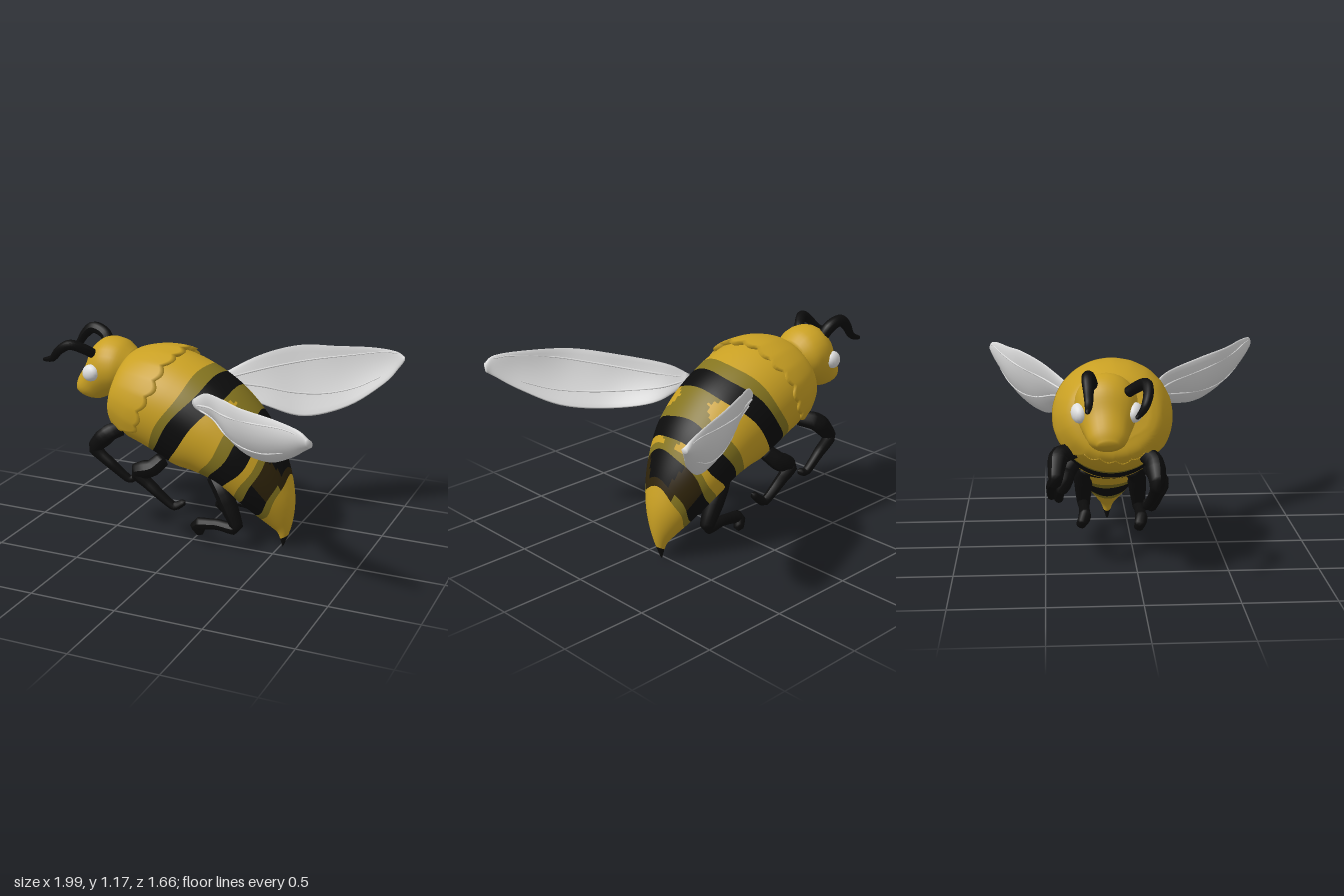
import * as THREE from 'three';

const V = (x, y, z) => new THREE.Vector3(x, y, z);
const mat = (name, color) => Object.assign(new THREE.MeshStandardMaterial({ color, side: THREE.DoubleSide }), { name });

// A loft is a list of sections [top, bottom, half width, sideways bow]; returns point(u, angle, scale)
function loftSurface(sections) {
  const n = sections.length - 1;
  const tops = new THREE.CatmullRomCurve3(sections.map(s => s[0]), false, 'catmullrom');
  const bots = new THREE.CatmullRomCurve3(sections.map(s => s[1]), false, 'catmullrom');
  const widths = new THREE.CatmullRomCurve3(sections.map(s => V(s[2], s[3] ?? 0, 0)), false, 'catmullrom');
  const at = (curve, u) => curve.getPoint(THREE.MathUtils.clamp(u / n, 0, 1));
  const mid = u => at(tops, u).add(at(bots, u)).multiplyScalar(0.5);
  return (u, a, scale = 1) => {
    const half = at(tops, u).sub(at(bots, u)).multiplyScalar(0.5);
    const along = mid(Math.min(u + 0.05, n)).sub(mid(Math.max(u - 0.05, 0)));
    const side = along.cross(half).normalize(), w = at(widths, u), sin = Math.sin(a);
    return mid(u).addScaledVector(half, Math.cos(a) * scale).addScaledVector(side, (w.x * sin + w.y * sin * sin) * scale);
  };
}

// Closed-around grid; pick(row, angle) chooses the material slot of each quad
function gridGeometry(point, rows, cols, pick = () => 0, slots = 1) {
  const pos = [], lists = Array.from({ length: slots }, () => []);
  for (let r = 0; r <= rows; r++)
    for (let c = 0; c < cols; c++) pos.push(...point(r, (c / cols) * Math.PI * 2).toArray());
  for (let r = 0; r < rows; r++)
    for (let c = 0; c < cols; c++) {
      const d = (c + 1) % cols, a = r * cols;
      lists[pick(r, ((c + 0.5) / cols) * Math.PI * 2)].push(
        a + c, a + d, a + cols + c, a + d, a + cols + d, a + cols + c);
    }
  const g = new THREE.BufferGeometry();
  g.setAttribute('position', new THREE.Float32BufferAttribute(pos, 3));
  g.setIndex(lists.flat());
  let start = 0;
  if (slots > 1) lists.forEach((l, i) => { g.addGroup(start, l.length, i); start += l.length; });
  g.computeVertexNormals();
  return g;
}

// Plain loft with both ends closed
function loft(sections, cols = 24, per = 5) {
  const s = loftSurface(sections), rows = (sections.length - 1) * per;
  return gridGeometry((r, a) => s(Math.max(0, Math.min(rows, r - 1)) / per, a, r === 0 || r === rows + 2 ? 0 : 1), rows + 2, cols);
}

// Tube whose radius follows a list, closed at both ends
function limb(points, radii, tension = 0.25) {
  const path = new THREE.CatmullRomCurve3(points, false, 'catmullrom', tension);
  const seg = 36, sides = 10, g = new THREE.TubeGeometry(path, seg, 1, sides);
  const p = g.attributes.position, v = V(0, 0, 0);
  for (let i = 0; i <= seg; i++) {
    const f = (i / seg) * (radii.length - 1), k = Math.min(Math.floor(f), radii.length - 2);
    const r = i === 0 || i === seg ? 0 : THREE.MathUtils.lerp(radii[k], radii[k + 1], f - k);
    const centre = path.getPointAt(i / seg);
    for (let j = 0; j <= sides; j++) {
      const q = i * (sides + 1) + j;
      v.fromBufferAttribute(p, q).sub(centre).multiplyScalar(r).add(centre);
      p.setXYZ(q, v.x, v.y, v.z);
    }
  }
  g.computeVertexNormals();
  return g;
}

export function createModel() {
  const group = new THREE.Group();
  group.name = 'bee';
  const yellow = mat('honey yellow', 0xc9a023), olive = mat('olive shade', 0x84741f);
  const brown = mat('dark brown', 0x2e230a), black = mat('black', 0x0c0c0c);
  const wingGrey = mat('wing grey', 0xdadada), eyeWhite = mat('eye white', 0xdedede);
  const add = (name, geometry, material) => {
    const m = new THREE.Mesh(geometry, material);
    m.name = name;
    group.add(m);
    return m;
  };
  const flat = (rows, z) => rows.map(([tx, ty, bx, by, w]) => [V(tx, ty, z), V(bx, by, z), w]);

  // Body: thorax, abdomen and sting in one loft
  const body = loftSurface(flat([
    [-0.45, 1.05, -0.53, 0.76, 0.16], [-0.38, 1.09, -0.53, 0.66, 0.25], [-0.25, 1.11, -0.43, 0.57, 0.3],
    [-0.1, 1.09, -0.33, 0.53, 0.315], [0.04, 1.04, -0.22, 0.48, 0.315], [0.17, 0.97, -0.12, 0.43, 0.31],
    [0.27, 0.89, 0, 0.41, 0.3], [0.38, 0.77, 0.12, 0.37, 0.28], [0.45, 0.66, 0.2, 0.31, 0.25],
    [0.52, 0.52, 0.28, 0.25, 0.205], [0.565, 0.38, 0.37, 0.18, 0.145], [0.58, 0.26, 0.45, 0.12, 0.085],
    [0.565, 0.13, 0.49, 0.08, 0.038], [0.52, 0, 0.515, 0, 0.004]], -0.12));

  // Band edges along the body at the back, flank and belly
  const edges = [[0, 0, 0], [4, 3.75, 3.4], [4.6, 4.15, 3.7], [5.55, 5.05, 4.7], [6.3, 6.5, 6.2], [6.75, 7, 6.6],
    [7.65, 7.95, 7.3], [8, 8.4, 8.3], [8.25, 8.8, 8.8], [9.25, 9.85, 9.9], [9.55, 10.2, 10.3], [12.4, 12.4, 12.4], [13, 13, 13]];
  const bandSlots = [0, 1, 3, 0, 1, 3, 0, 1, 3, 1, 0, 3];
  const edgeAt = (k, a) => {
    const [t, m, b] = edges[k], c = Math.cos(a);
    const wave = k > 0 && k < 11 ? 0.05 * Math.cos(5 * a + k) : 0;
    return m + ((t - b) / 2) * c + ((t + b) / 2 - m) * c * c + wave;
  };
  const per = 8, bands = bandSlots.length;
  const bodyPoint = (r, a) => {
    const k = Math.min(Math.floor(r / per), bands - 1);
    const u = THREE.MathUtils.lerp(edgeAt(k, a), edgeAt(k + 1, a), r / per - k);
    return body(u, a, r === 0 || r === bands * per ? 0 : 1);
  };
  const bodySlot = (r, a) => {
    const k = Math.floor(r / per), fromBack = Math.min(a, Math.PI * 2 - a);
    const f = (r % per) / per;
    if (k === 3 && fromBack < 0.36 + 0.2 * Math.abs(2 * f - 1)) return 1; // shaded middle of the back
    if (k === 6 && fromBack < 0.25 - 0.1 * f) return 1;
    if (k === 8 && fromBack > 0.6 - 0.2 * f && fromBack < 1.4) return 2; // brown shoulders of the last band
    if (k === 9 && fromBack < 0.7) return 2;
    return bandSlots[k];
  };
  add('body', gridGeometry(bodyPoint, bands * per, 72, bodySlot, 4), [yellow, olive, brown, black]);

  // Ragged fur collar over the thorax
  const furEdge = a => {
    const fromBack = Math.min(a, Math.PI * 2 - a);
    return 2.85 - 1.7 * THREE.MathUtils.smoothstep(fromBack, 1.9, 2.6) + 0.2 * Math.abs(Math.sin(a * 10)) + 0.06 * Math.sin(a * 7);
  };
  add('furCollar', gridGeometry((r, a) => {
    const f = r / 14;
    if (r === 15) return body(furEdge(a) - 0.15, a, 0.98);
    const flare = 0.04 + 0.04 * Math.max(0, Math.cos(a));
    return body(furEdge(a) * f, a, r === 0 ? 0 : 1.015 + flare * f * f);
  }, 15, 120), yellow);

  // Head with muzzle
  add('head', loft(flat([
    [-0.44, 1.05, -0.48, 0.82, 0.12], [-0.52, 1.11, -0.53, 0.8, 0.16], [-0.62, 1.12, -0.58, 0.78, 0.165],
    [-0.7, 1.065, -0.63, 0.755, 0.15], [-0.75, 0.96, -0.68, 0.735, 0.12], [-0.805, 0.87, -0.74, 0.74, 0.095],
    [-0.825, 0.81, -0.8, 0.765, 0.05]], -0.17)), yellow);

  // Eyes
  for (const s of [1, -1]) {
    const eye = add('eye', new THREE.SphereGeometry(1, 16, 12), eyeWhite);
    eye.scale.set(0.06, 0.05, 0.04);
    eye.position.set(-0.665, 0.93, -0.17 + s * 0.145);
    eye.rotation.set(0, -s * 0.3, 0.4);
  }

  // Antennae
  add('leftAntenna', limb([V(-0.66, 1.03, -0.07), V(-0.7, 1.07, -0.02), V(-0.77, 1.1, 0.025), V(-0.84, 1.06, 0.03),
    V(-0.9, 1, 0.005), V(-0.99, 0.97, -0.04)], [0.028, 0.03, 0.03, 0.028, 0.024, 0.018, 0.01], 0.5), black);
  add('rightAntenna', limb([V(-0.65, 1.05, -0.24), V(-0.69, 1.11, -0.26), V(-0.77, 1.135, -0.27), V(-0.83, 1.09, -0.27),
    V(-0.88, 1.02, -0.27), V(-0.95, 0.99, -0.28)], [0.032, 0.036, 0.035, 0.032, 0.026, 0.02, 0.01], 0.5), black);

  // Legs: hip, knee, ankle and foot
  const slim = [0.045, 0.05, 0.055, 0.045, 0.035, 0.032, 0.028, 0.025, 0.018];
  const stout = [0.05, 0.055, 0.055, 0.048, 0.038, 0.032, 0.032, 0.038, 0.025];
  const legs = {
    leftFrontLeg: [slim, [-0.42, 0.65, 0.04], [-0.49, 0.62, 0.09], [-0.58, 0.52, 0.1], [-0.48, 0.43, 0.09], [-0.38, 0.34, 0.06], [-0.33, 0.37, 0.06]],
    rightFrontLeg: [slim, [-0.35, 0.66, -0.32], [-0.42, 0.64, -0.42], [-0.51, 0.53, -0.44], [-0.4, 0.47, -0.46], [-0.29, 0.38, -0.46], [-0.24, 0.4, -0.44]],
    leftMiddleLeg: [slim, [-0.14, 0.52, 0.08], [-0.2, 0.46, 0.13], [-0.29, 0.43, 0.14], [-0.18, 0.33, 0.13], [-0.07, 0.24, 0.11], [0.0, 0.28, 0.1]],
    rightMiddleLeg: [slim, [-0.08, 0.54, -0.32], [-0.14, 0.47, -0.38], [-0.22, 0.42, -0.4], [-0.1, 0.35, -0.42], [0.01, 0.28, -0.42], [0.09, 0.35, -0.4]],
    leftHindLeg: [stout, [0.13, 0.43, 0], [0.2, 0.36, 0.04], [0.3, 0.15, 0.06], [0.18, 0.15, 0.06], [0.05, 0.13, 0.06], [0.08, 0.06, 0.04]],
    rightHindLeg: [stout, [0.16, 0.43, -0.24], [0.22, 0.37, -0.27], [0.31, 0.17, -0.27], [0.19, 0.17, -0.27], [0.06, 0.15, -0.27], [0.09, 0.08, -0.3]],
  };
  for (const [name, [radii, ...points]] of Object.entries(legs)) add(name, limb(points.map(p => V(...p)), radii), black);

  // Wings: upper edge and lower edge at each station, bowed outwards
  const wings = {
    leftWing: [1, [0.06, 0.91, 0.13, 0.1, 0.85, 0.12], [0.17, 0.98, 0.21, 0.29, 0.78, 0.18], [0.36, 1.03, 0.42, 0.47, 0.74, 0.38],
      [0.53, 1.06, 0.6, 0.67, 0.77, 0.54], [0.75, 1.07, 0.72, 0.84, 0.87, 0.69], [0.91, 1.06, 0.8, 0.94, 0.95, 0.77],
      [0.97, 1.02, 0.82, 0.98, 0.98, 0.79]],
    rightWing: [-1, [0.01, 0.91, -0.32, 0.05, 0.85, -0.31], [0.21, 1.02, -0.48, 0.3, 0.75, -0.38], [0.41, 1.07, -0.62, 0.5, 0.68, -0.49],
      [0.61, 1.065, -0.705, 0.72, 0.73, -0.63], [0.81, 1.06, -0.78, 0.9, 0.86, -0.74], [0.94, 1.04, -0.82, 0.97, 0.95, -0.8],
      [0.99, 1.01, -0.83, 0.995, 0.99, -0.82]],
  };
  const bow = [0, 0.025, 0.035, 0.035, 0.025, 0.01, 0];
  for (const [name, [out, ...rows]] of Object.entries(wings)) {
    const sections = rows.map(([a, b, c, d, e, f], i) => [V(a, b, c), V(d, e, f), i === 0 ? 0.025 : 0.016, out * bow[i]]);
    add(name, loft(sections, 20, 6), wingGrey);
    // Faint raised veins on both faces
    const surface = loftSurface(sections);
    for (const side of [1, -1])
      for (const [from, to, end] of [[1.2, 0.6, 5.4], [1.7, 2.2, 4]]) {
        const points = [0, 1, 2, 3, 4, 5].map(i => surface(0.2 + ((end - 0.2) * i) / 5, side * THREE.MathUtils.lerp(from, to, i / 5)));
        add(name + 'Vein', limb(points, [0.006, 0.005, 0.003], 0.5), wingGrey);
      }
  }
  return group;
}
